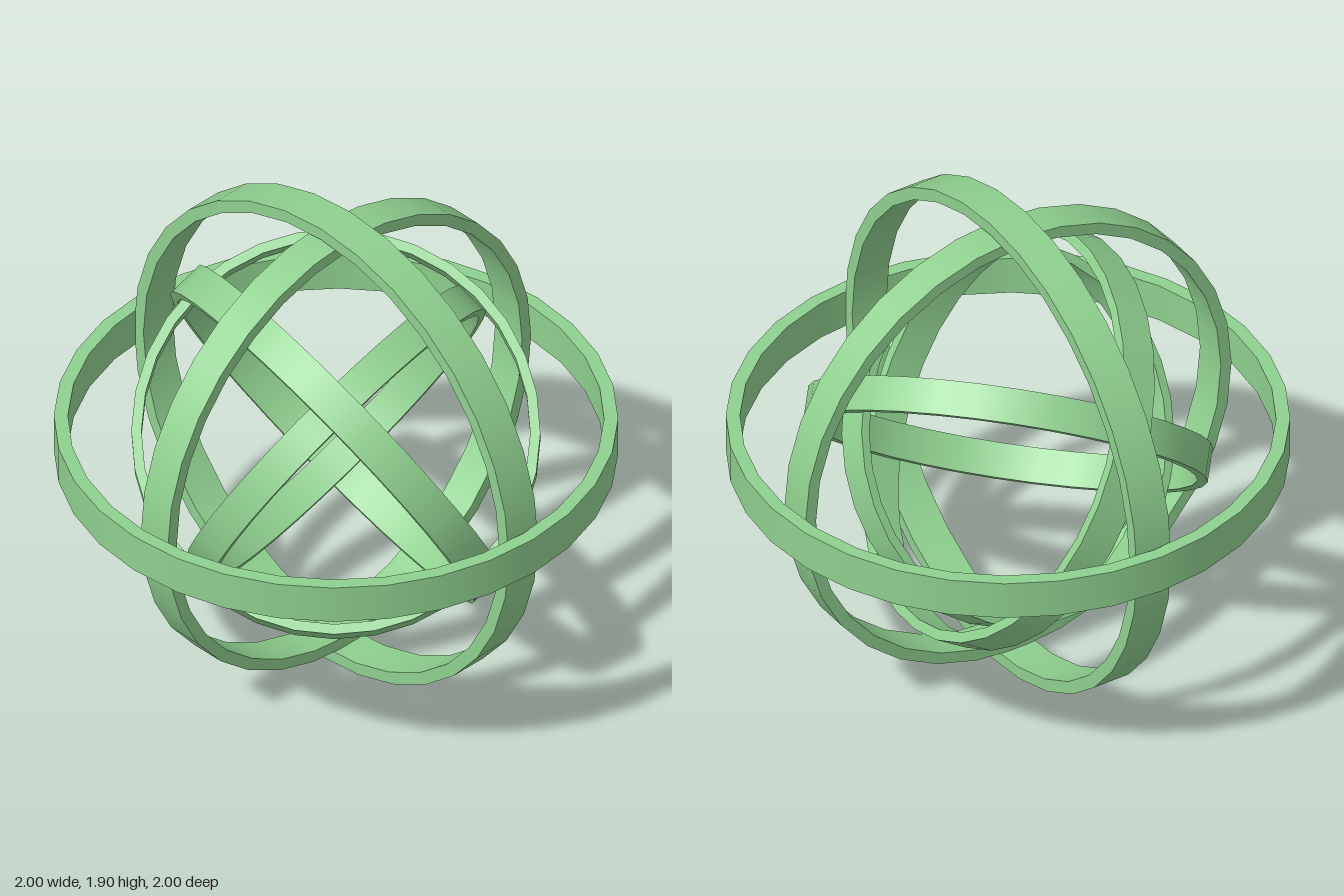
import * as THREE from 'three';
import { mergeGeometries } from 'three/addons/utils/BufferGeometryUtils.js';

const SEGMENTS = 32;
const CENTRE_Y = 0.95;
const material = new THREE.MeshStandardMaterial({ color: 0x8fd08f });

// Flat hoop around the y axis: four lathed walls, smooth around, sharp at the rims
function hoopGeometry(radius, halfWidth) {
  const inner = radius * 0.95;
  const corners = [
    [radius, -halfWidth], [radius, halfWidth],
    [inner, halfWidth], [inner, -halfWidth],
  ].map(([x, y]) => new THREE.Vector2(x, y));
  return mergeGeometries(corners.map((corner, i) =>
    new THREE.LatheGeometry([corner, corners[(i + 1) % 4]], SEGMENTS)));
}

// Three hoops at right angles, whose axes are x, y and z
function hoopSet(name, hoops) {
  const group = new THREE.Group();
  group.name = name;
  for (const { axis, radius, halfWidth } of hoops) {
    const hoop = new THREE.Mesh(hoopGeometry(radius, halfWidth), material);
    hoop.name = `${name}Hoop${axis.toUpperCase()}`;
    if (axis === 'x') hoop.rotation.z = Math.PI / 2;
    if (axis === 'z') hoop.rotation.x = Math.PI / 2;
    group.add(hoop);
  }
  group.position.y = CENTRE_Y;
  return group;
}

export function createModel() {
  const model = new THREE.Group();
  model.name = 'ringSphere';

  // Upright outer cage
  const outer = hoopSet('outer', [
    { axis: 'y', radius: 1.0, halfWidth: 0.075 },
    { axis: 'x', radius: 0.95, halfWidth: 0.0725 },
    { axis: 'z', radius: 0.9, halfWidth: 0.068 },
  ]);

  // Inner cage, tilted about a horizontal diagonal
  const inner = hoopSet('inner', [
    { axis: 'x', radius: 0.77, halfWidth: 0.068 },
    { axis: 'y', radius: 0.725, halfWidth: 0.063 },
    { axis: 'z', radius: 0.685, halfWidth: 0.06 },
  ]);
  inner.quaternion.setFromAxisAngle(new THREE.Vector3(1, 0, 1).normalize(), Math.PI / 4);

  model.add(outer, inner);
  return model;
}
